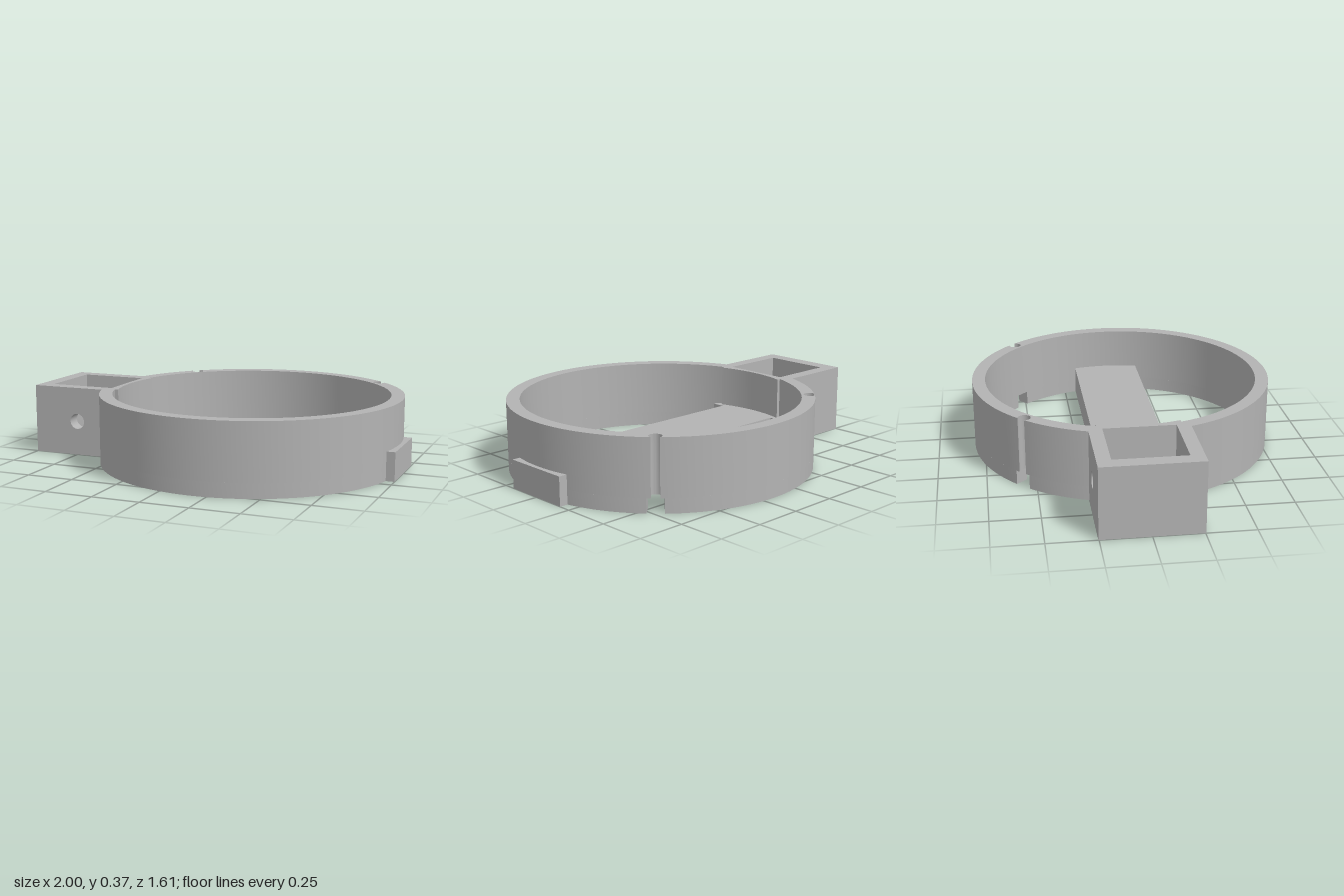
import * as THREE from 'three';
import { toCreasedNormals } from 'three/addons/utils/BufferGeometryUtils.js';

const CX = 0.172, R_OUT = 0.805, R_IN = 0.735, H = 0.37;
const NOTCH_H = 0.075, BEAM_H = 0.15;
const PIN_D = 0.78, PIN_R = 0.033;
const PINS = [Math.PI / 4, 3 * Math.PI / 4];

export function createModel() {
  const group = new THREE.Group();
  const grey = new THREE.MeshStandardMaterial({ color: 0xb3b3b3 });
  grey.name = 'grey';

  const add = (name, geo) => {
    const mesh = new THREE.Mesh(geo, grey);
    mesh.name = name;
    group.add(mesh);
    return mesh;
  };
  const box = (name, x0, x1, y0, y1, z0, z1) => {
    const g = new THREE.BoxGeometry(x1 - x0, y1 - y0, z1 - z0);
    g.translate((x0 + x1) / 2, (y0 + y1) / 2, (z0 + z1) / 2);
    return add(name, g);
  };
  // Upright extrusion of a plan outline (outline y points to the back)
  const upright = (name, points, y0, y1) => {
    const g = new THREE.ExtrudeGeometry(new THREE.Shape(points), { depth: y1 - y0, bevelEnabled: false });
    g.rotateX(-Math.PI / 2);
    g.translate(0, y0, 0);
    return add(name, toCreasedNormals(g, 0.5));
  };
  const polar = (r, a) => new THREE.Vector2(CX + r * Math.cos(a), r * Math.sin(a));
  const arc = (r, a0, a1) => {
    const n = Math.max(2, Math.ceil(Math.abs(a1 - a0) / 0.045));
    return Array.from({ length: n + 1 }, (_, i) => polar(r, a0 + (a1 - a0) * i / n));
  };

  // Ring sector; pin holes break through its outer face
  const delta = Math.acos((R_OUT ** 2 + PIN_D ** 2 - PIN_R ** 2) / (2 * R_OUT * PIN_D));
  const phi = Math.atan2(R_OUT * Math.sin(delta), R_OUT * Math.cos(delta) - PIN_D);
  const sector = (name, a0, a1, pins, y0, y1) => {
    const pts = [];
    let from = a0;
    for (const a of pins) {
      pts.push(...arc(R_OUT, from, a - delta));
      const c = polar(PIN_D, a);
      for (let i = 1; i < 18; i++) {
        const t = a - phi - (2 * Math.PI - 2 * phi) * i / 18;
        pts.push(new THREE.Vector2(c.x + PIN_R * Math.cos(t), c.y + PIN_R * Math.sin(t)));
      }
      from = a + delta;
    }
    pts.push(...arc(R_OUT, from, a1), ...arc(R_IN, a1, a0));
    upright(name, pts, y0, y1);
  };

  // Ring, open where the socket joins it, with square notches under the pin holes
  const start = -Math.PI + 0.29, end = Math.PI - 0.29, half = 0.054;
  sector('ringUpper', start, end, PINS, NOTCH_H, H);
  sector('ringLowerFront', start, PINS[0] - half, [], 0, NOTCH_H);
  sector('ringLowerBack', PINS[0] + half, PINS[1] - half, [], 0, NOTCH_H);
  sector('ringLowerSide', PINS[1] + half, end, [], 0, NOTCH_H);

  // Socket side walls with a cross hole
  for (const [name, z0, z1] of [['socketWallFront', 0.183, 0.253], ['socketWallBack', -0.253, -0.183]]) {
    const s = new THREE.Shape();
    s.moveTo(-1, 0).lineTo(-0.54, 0).lineTo(-0.54, H).lineTo(-1, H).closePath();
    const hole = new THREE.Path();
    hole.absarc(-0.745, 0.185, 0.042, 0, Math.PI * 2, true);
    s.holes.push(hole);
    const g = new THREE.ExtrudeGeometry(s, { depth: z1 - z0, bevelEnabled: false, curveSegments: 16 });
    g.translate(0, 0, z0);
    add(name, toCreasedNormals(g, 0.5));
  }
  box('socketEndWall', -1, -0.925, 0, H, -0.253, 0.253);

  // Thin curved wall between socket and ring interior
  const inner = arc(0.717, Math.PI + 0.3, Math.PI - 0.3);
  const backZ = inner[inner.length - 1].y;
  upright('socketInnerWall', [
    new THREE.Vector2(-0.568, backZ), new THREE.Vector2(-0.568, -backZ), ...inner,
  ], 0, H);

  // Low feet of the socket, either side of the crossbar
  box('socketFootFront', -0.57, -0.49, 0, BEAM_H, 0.18, 0.253);
  box('socketFootBack', -0.57, -0.49, 0, BEAM_H, -0.253, -0.18);

  // Crossbar that pokes through the ring as a tab
  box('crossbar', -0.568, 1, 0, BEAM_H, -0.185, 0.185);

  return group;
}
